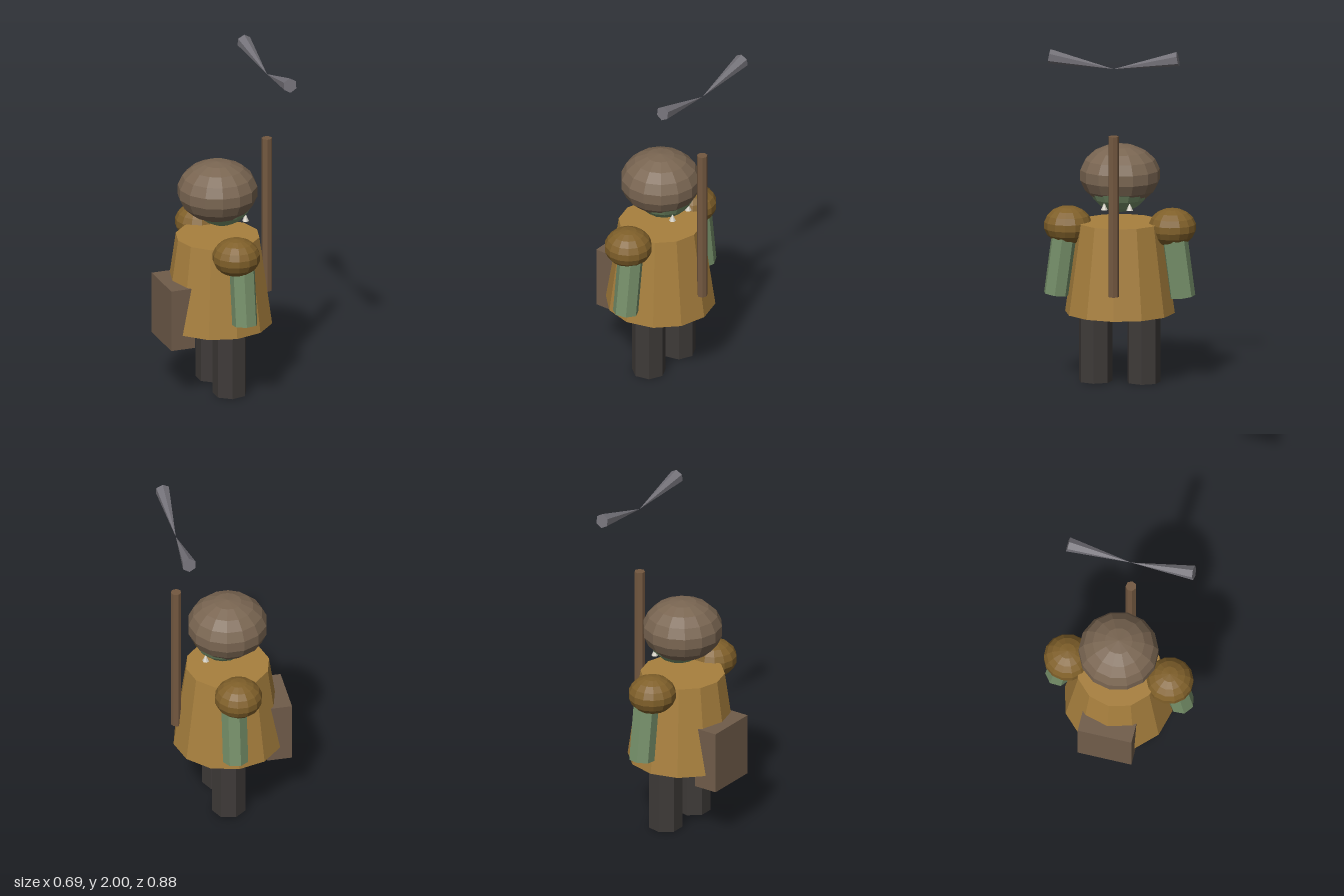
import * as THREE from 'three';

const COLORS = {
  tunic: 0xa8803e, shoulder: 0x80602a, skin: 0x76906a, hat: 0x7a6652,
  leg: 0x3e3a38, staff: 0x735840, blade: 0x737178, pack: 0x705c4a, tusk: 0xd8d4c8,
};
const materials = {};
for (const key in COLORS) {
  materials[key] = new THREE.MeshStandardMaterial({ color: COLORS[key], flatShading: true });
}

export function createModel() {
  const model = new THREE.Group();

  function add(name, geometry, material, x, y, z) {
    const mesh = new THREE.Mesh(geometry, materials[material]);
    mesh.name = name;
    mesh.position.set(x, y, z);
    model.add(mesh);
    return mesh;
  }
  // Upright prism with its first corner towards +x
  const prism = (rTop, rBottom, h, sides) =>
    new THREE.CylinderGeometry(rTop, rBottom, h, sides, 1, false, Math.PI / 2);
  // Faceted ellipsoid
  const ball = (r, ry, segments, rings) =>
    new THREE.SphereGeometry(r, segments, rings).rotateY(Math.PI).scale(1, ry / r, 1);

  // Flared tunic and the pack on the back
  add('tunic', prism(0.245, 0.32, 0.53, 12), 'tunic', 0, 0.67, 0);
  add('backpack', new THREE.BoxGeometry(0.147, 0.37, 0.32), 'pack', -0.2735, 0.505, 0);

  // Head and rounded cap
  add('head', ball(0.187, 0.187, 14, 10), 'skin', 0.027, 1.187, 0);
  add('cap', ball(0.235, 0.18, 14, 9), 'hat', 0, 1.213, 0);

  // Paired parts, mirrored across z
  for (const side of [1, -1]) {
    const prefix = side > 0 ? 'front' : 'back';
    add(prefix + 'Leg', prism(0.1, 0.1, 0.45, 7), 'leg', 0.023, 0.225, 0.14 * side);
    add(prefix + 'ShoulderPad', ball(0.14, 0.112, 14, 9), 'shoulder', 0, 0.91, 0.304 * side);
    const arm = add(prefix + 'Arm', prism(0.075, 0.075, 0.4, 7), 'skin', 0.03, 0.706, 0.342 * side);
    arm.rotation.x = -0.13 * side;
    add(prefix + 'Tusk', new THREE.ConeGeometry(0.02, 0.045, 6), 'tusk', 0.145, 1.052, 0.074 * side);
  }

  // Staff held in front, with a double blade floating above it
  add('staff', prism(0.031, 0.031, 0.945, 7), 'staff', 0.305, 1.0225, 0);
  const length = 0.381;
  const bladeGeometry = new THREE.ConeGeometry(0.043, length, 6)
    .translate(0, -length / 2, 0)
    .rotateX(-Math.PI / 2 - 0.177);
  for (const turn of [0, Math.PI]) {
    add(turn ? 'backBlade' : 'frontBlade', bladeGeometry, 'blade', 0.306, 1.892, 0).rotation.y = turn;
  }

  return model;
}
